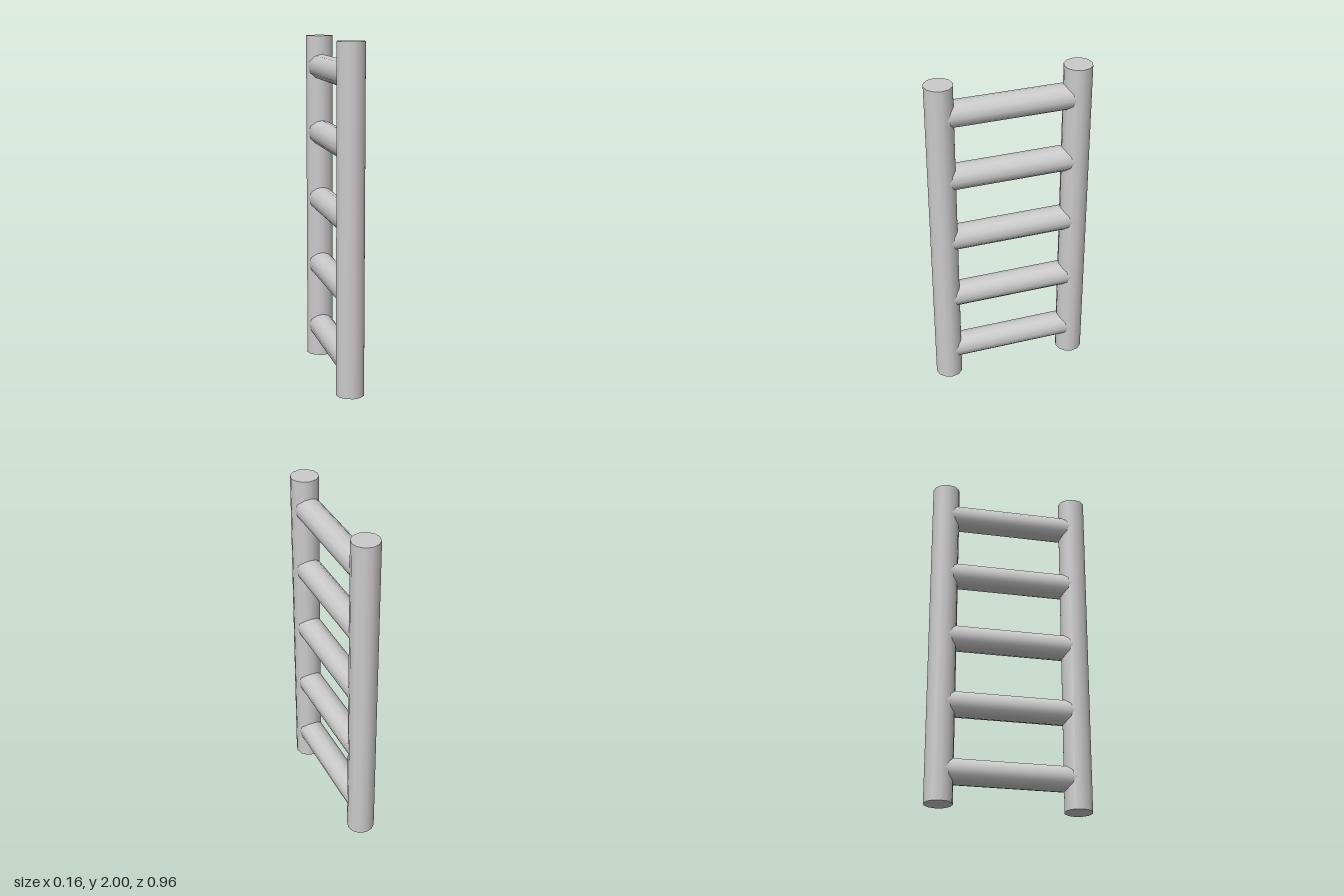
import * as THREE from 'three';

export function createModel() {
  const ladder = new THREE.Group();
  ladder.name = 'ladder';
  const material = new THREE.MeshStandardMaterial({ color: 0xcccccc });
  const railOffset = 0.397;

  // Two upright rails
  const railGeometry = new THREE.CylinderGeometry(0.082, 0.082, 2, 12);
  for (const [name, side] of [['frontRail', 1], ['backRail', -1]]) {
    const rail = new THREE.Mesh(railGeometry, material);
    rail.name = name;
    rail.position.set(0, 1, side * railOffset);
    ladder.add(rail);
  }

  // Five round rungs, their ends buried in the rails
  const rungGeometry = new THREE.CylinderGeometry(0.076, 0.076, 2 * railOffset, 12);
  rungGeometry.rotateX(Math.PI / 2);
  [0.19, 0.59, 1.003, 1.415, 1.815].forEach((y, i) => {
    const rung = new THREE.Mesh(rungGeometry, material);
    rung.name = `rung${i + 1}`;
    rung.position.y = y;
    ladder.add(rung);
  });

  return ladder;
}
